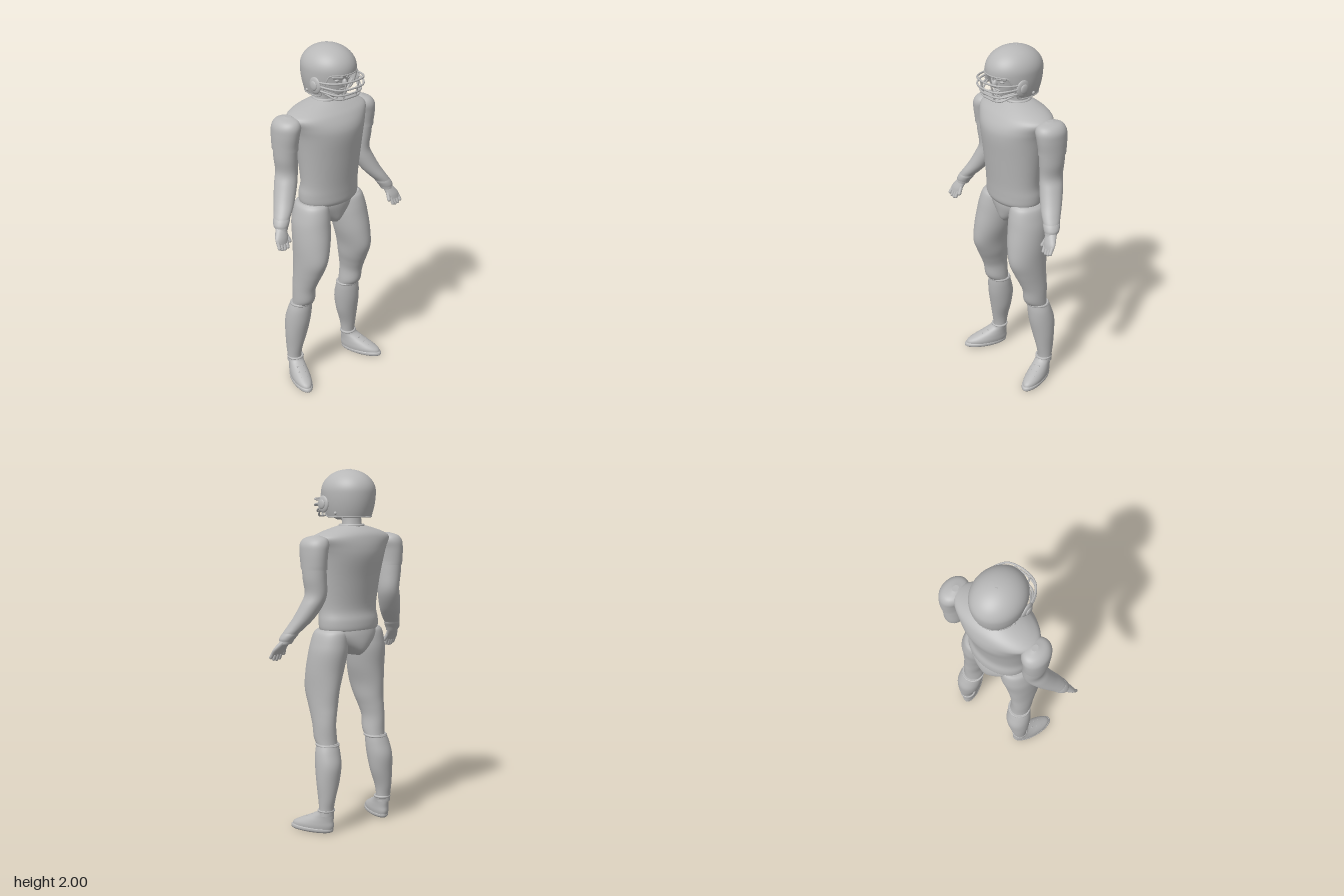
import * as THREE from 'three';

const grey = new THREE.MeshStandardMaterial({ color: 0xb8b8b8, side: THREE.DoubleSide });
grey.name = 'plain grey';

const V = (x, y, z) => new THREE.Vector3(x, y, z);

export function createModel() {
  const model = new THREE.Group();
  model.name = 'footballPlayer';

  const add = (name, geometry, parent = model) => {
    const mesh = new THREE.Mesh(geometry, grey);
    mesh.name = name;
    parent.add(mesh);
    return mesh;
  };

  // Closed tube surface: fn(t, angle) gives the point, t runs bottom to top
  const skin = (rows, cols, fn, capped = true) => {
    const pos = [], index = [];
    for (let i = 0; i <= rows; i++)
      for (let j = 0; j < cols; j++) pos.push(...fn(i / rows, (j / cols) * Math.PI * 2).toArray());
    for (let i = 0; i < rows; i++)
      for (let j = 0; j < cols; j++) {
        const a = i * cols + j, b = i * cols + (j + 1) % cols;
        index.push(a, a + cols, b, b, a + cols, b + cols);
      }
    if (capped) for (const end of [0, 1]) {
      const base = pos.length / 3, centre = V(0, 0, 0);
      for (let j = 0; j < cols; j++) {
        const p = fn(end, (j / cols) * Math.PI * 2);
        centre.addScaledVector(p, 1 / cols);
        pos.push(...p.toArray());
      }
      pos.push(...centre.toArray());
      for (let j = 0; j < cols; j++) {
        const a = base + j, b = base + (j + 1) % cols;
        index.push(base + cols, ...(end ? [b, a] : [a, b]));
      }
    }
    const g = new THREE.BufferGeometry();
    g.setAttribute('position', new THREE.Float32BufferAttribute(pos, 3));
    g.setIndex(index);
    g.computeVertexNormals();
    return g;
  };

  // Smooth body form through elliptical sections [x, y, z, halfWidth, halfDepth]
  const loft = (sections, side = 1, cols = 36) => {
    const mid = new THREE.CatmullRomCurve3(sections.map(s => V(s[0] * side, s[1], s[2])), false, 'catmullrom', 0.5);
    const rad = new THREE.CatmullRomCurve3(sections.map(s => V(s[3], s[4], 0)), false, 'catmullrom', 0.5);
    return skin((sections.length - 1) * 5, cols, (t, a) => {
      const r = rad.getPoint(t);
      return mid.getPoint(t).add(V(r.x * Math.cos(a), 0, r.y * Math.sin(a)));
    });
  };

  const tube = (points, radius, n = 32) =>
    new THREE.TubeGeometry(new THREE.CatmullRomCurve3(points), n, radius, 8);

  const capsule = (name, from, to, radius, parent) => {
    const m = add(name, new THREE.CapsuleGeometry(radius, from.distanceTo(to), 6, 12), parent);
    m.position.copy(from).lerp(to, 0.5);
    m.quaternion.setFromUnitVectors(V(0, 1, 0), to.clone().sub(from).normalize());
  };

  const ball = (name, x, y, z, rx, ry, rz, parent) => {
    const m = add(name, new THREE.SphereGeometry(1, 28, 20).scale(rx, ry, rz), parent);
    m.position.set(x, y, z);
    return m;
  };

  // Torso, neck and pelvis
  add('jersey', loft([
    [0, 1.115, -0.02, 0.172, 0.118], [0, 1.135, -0.02, 0.186, 0.128], [0, 1.18, -0.018, 0.188, 0.129],
    [0, 1.25, -0.01, 0.182, 0.126], [0, 1.4, -0.013, 0.197, 0.146], [0, 1.52, -0.02, 0.215, 0.166],
    [0, 1.58, -0.025, 0.235, 0.163], [0, 1.63, -0.035, 0.258, 0.142], [0, 1.66, -0.043, 0.21, 0.118],
    [0, 1.685, -0.045, 0.125, 0.085], [0, 1.698, -0.045, 0.07, 0.062]], 1, 56));
  add('collar', new THREE.TorusGeometry(0.063, 0.009, 10, 40).rotateX(Math.PI / 2)).position.set(0, 1.697, -0.045);
  add('neck', loft([[0, 1.67, -0.05, 0.06, 0.055], [0, 1.72, -0.045, 0.055, 0.052], [0, 1.79, -0.03, 0.058, 0.06]]));
  add('pelvis', loft([
    [0, 0.985, -0.03, 0.028, 0.085], [0, 1.01, -0.035, 0.06, 0.11], [0, 1.05, -0.035, 0.115, 0.12],
    [0, 1.1, -0.03, 0.165, 0.122], [0, 1.15, -0.025, 0.175, 0.115]], 1, 48));

  // Head and face
  const head = new THREE.Group();
  head.name = 'head';
  model.add(head);
  add('face', loft([
    [0, 1.725, 0.03, 0.025, 0.035], [0, 1.74, 0.025, 0.05, 0.062], [0, 1.78, 0.01, 0.075, 0.088],
    [0, 1.83, 0, 0.09, 0.105], [0, 1.88, 0, 0.095, 0.112], [0, 1.93, -0.01, 0.07, 0.09]]), head);
  ball('nose', 0, 1.815, 0.108, 0.013, 0.022, 0.016, head);
  ball('upperLip', 0, 1.78, 0.094, 0.026, 0.006, 0.009, head);
  ball('lowerLip', 0, 1.769, 0.09, 0.022, 0.006, 0.009, head);
  ball('chin', 0, 1.743, 0.077, 0.024, 0.015, 0.016, head);

  // Helmet shell: dome above, steep sides below, cut away over the face
  const shell = (t, a) => {
    const fromFront = Math.abs(Math.atan2(Math.cos(a), Math.sin(a)));
    const drop = 0.08 + 0.92 * THREE.MathUtils.smoothstep(fromFront, 0.72, 1.2);
    let r, y;
    if (t < 0.4) {
      const s = (1 - t / 0.4) * drop;
      r = 1 - 0.16 * s * s;
      y = 1.88 - 0.135 * s;
    } else {
      const p = ((t - 0.4) / 0.6) * Math.PI / 2;
      r = Math.max(Math.cos(p), 0.002);
      y = 1.88 + 0.12 * Math.sin(p);
    }
    return V(0.14 * r * Math.cos(a), y, -0.018 + 0.162 * r * Math.sin(a));
  };
  add('helmetShell', skin(40, 72, shell, false), head);
  const rim = Array.from({ length: 72 }, (_, i) => shell(0, (i / 72) * Math.PI * 2));
  add('helmetRim', new THREE.TubeGeometry(new THREE.CatmullRomCurve3(rim, true), 144, 0.004, 6, true), head);
  ball('helmetButton', 0, 1.998, -0.035, 0.005, 0.004, 0.005, head);

  // Face guard bars: [y at ear, y at front, front z, half width at ear]
  for (const [y0, y1, z, w] of [[1.835, 1.84, 0.18, 0.138], [1.815, 1.803, 0.18, 0.14], [1.79, 1.77, 0.163, 0.136], [1.785, 1.747, 0.155, 0.13]]) {
    const half = [[w, y0, 0.06], [w * 0.88, (y0 * 2 + y1) / 3, z - 0.065], [w * 0.6, y1, z - 0.018]];
    add('faceGuardBar', tube([...half.map(p => V(-p[0], p[1], p[2])), V(0, y1, z),
      ...half.reverse().map(p => V(...p))], 0.0055, 48), head);
  }

  for (const s of [1, -1]) {
    const side = s > 0 ? 'left' : 'right';
    const S = (x, y, z) => V(x * s, y, z);
    const part = name => side + name;

    // Helmet fittings, brow and eye
    capsule(part('GuardUpright'), S(0.045, 1.84, 0.17), S(0.045, 1.75, 0.148), 0.005, head);
    ball(part('EarCup'), 0.138 * s, 1.812, 0.032, 0.013, 0.046, 0.042, head);
    ball(part('EarPad'), 0.15 * s, 1.812, 0.032, 0.008, 0.026, 0.024, head);
    ball(part('HelmetRivet'), 0.122 * s, 1.765, -0.05, 0.008, 0.009, 0.009, head);
    capsule(part('Brow'), S(0.018, 1.846, 0.105), S(0.058, 1.85, 0.085), 0.009, head);
    ball(part('Eye'), 0.036 * s, 1.83, 0.09, 0.015, 0.009, 0.012, head);
    capsule(part('ChinStrap'), S(0.118, 1.79, 0.04), S(0.03, 1.745, 0.082), 0.005, head);

    // Arm
    add(part('Sleeve'), loft([
      [0.276, 1.47, -0.055, 0.064, 0.08], [0.277, 1.5, -0.055, 0.064, 0.083], [0.275, 1.56, -0.052, 0.067, 0.09],
      [0.268, 1.605, -0.05, 0.07, 0.09], [0.262, 1.635, -0.05, 0.053, 0.07], [0.258, 1.65, -0.05, 0.015, 0.02]], s));
    add(part('Arm'), loft([
      [0.395, 1.07, 0.045, 0.033, 0.034], [0.378, 1.12, 0.028, 0.042, 0.044], [0.35, 1.16, 0.008, 0.05, 0.053],
      [0.318, 1.21, -0.018, 0.057, 0.06], [0.285, 1.28, -0.045, 0.06, 0.066], [0.267, 1.34, -0.058, 0.056, 0.067],
      [0.273, 1.42, -0.057, 0.06, 0.072], [0.277, 1.5, -0.055, 0.059, 0.076]], s));
    add(part('Wristband'), loft([
      [0.394, 1.085, 0.041, 0.039, 0.039], [0.39, 1.098, 0.037, 0.043, 0.043], [0.381, 1.115, 0.03, 0.045, 0.046],
      [0.375, 1.128, 0.025, 0.043, 0.045]], s));

    // Hand
    add(part('Palm'), loft([
      [0.424, 1.01, 0.085, 0.038, 0.014], [0.418, 1.035, 0.073, 0.042, 0.02], [0.408, 1.06, 0.058, 0.037, 0.024],
      [0.396, 1.085, 0.042, 0.031, 0.027]], s, 24));
    for (let i = 0; i < 4; i++) {
      const x = 0.394 + i * 0.019, tip = [0.985, 0.98, 0.983, 0.993][i];
      capsule(part('Finger'), S(x, 1.02, 0.082), S(x + 0.004, tip, 0.098), 0.0098);
    }
    capsule(part('Thumb'), S(0.385, 1.05, 0.066), S(0.376, 1.01, 0.088), 0.0105);

    // Leg
    add(part('Thigh'), loft([
      [0.179, 0.49, -0.046, 0.058, 0.056], [0.18, 0.53, -0.03, 0.06, 0.07], [0.183, 0.6, -0.024, 0.058, 0.076],
      [0.178, 0.66, -0.012, 0.063, 0.088], [0.171, 0.72, 0.002, 0.071, 0.102], [0.165, 0.8, 0.014, 0.079, 0.12],
      [0.152, 0.9, 0.008, 0.094, 0.122], [0.141, 1, -0.007, 0.1, 0.121], [0.134, 1.06, -0.012, 0.095, 0.116],
      [0.127, 1.11, -0.016, 0.086, 0.106], [0.124, 1.13, -0.018, 0.07, 0.09]], s, 44));
    add(part('Calf'), loft([
      [0.215, 0.1, -0.08, 0.043, 0.04], [0.215, 0.14, -0.08, 0.042, 0.041], [0.212, 0.2, -0.08, 0.048, 0.051],
      [0.201, 0.29, -0.076, 0.065, 0.064], [0.193, 0.38, -0.07, 0.072, 0.075], [0.187, 0.45, -0.058, 0.07, 0.069],
      [0.181, 0.5, -0.05, 0.062, 0.06]], s));
    const cuff = add(part('KneeCuff'), new THREE.TorusGeometry(0.061, 0.007, 10, 40).rotateX(Math.PI / 2));
    cuff.position.set(0.18 * s, 0.494, -0.048);
    cuff.rotation.x = -0.08;

    // Shoe, turned outwards
    const shoe = new THREE.Group();
    shoe.name = part('Shoe');
    shoe.position.set(0.242 * s, 0, 0.005);
    shoe.rotation.y = 0.36 * s;
    model.add(shoe);
    add('sole', loft([[0, 0, 0.01, 0.045, 0.122], [0, 0.008, 0.008, 0.053, 0.132], [0, 0.02, 0.006, 0.054, 0.132], [0, 0.026, 0.005, 0.05, 0.126]]), shoe);
    add('upper', loft([
      [0, 0.015, 0.004, 0.05, 0.128], [0, 0.04, -0.004, 0.053, 0.126], [0, 0.065, -0.026, 0.05, 0.102],
      [0, 0.09, -0.055, 0.045, 0.074], [0, 0.112, -0.077, 0.043, 0.052], [0, 0.128, -0.086, 0.044, 0.046]]), shoe);
    add('ankleRoll', new THREE.TorusGeometry(0.042, 0.007, 10, 36).rotateX(Math.PI / 2), shoe).position.set(0, 0.127, -0.085);
    for (const [y, z] of [[0.062, 0.074], [0.078, 0.042], [0.095, 0.008]])
      for (const d of [1, -1])
        capsule('lace', V(-0.019 * d, y - 0.004, z - 0.006), V(0.019 * d, y + 0.003, z - 0.012), 0.0035, shoe);
  }
  return model;
}
